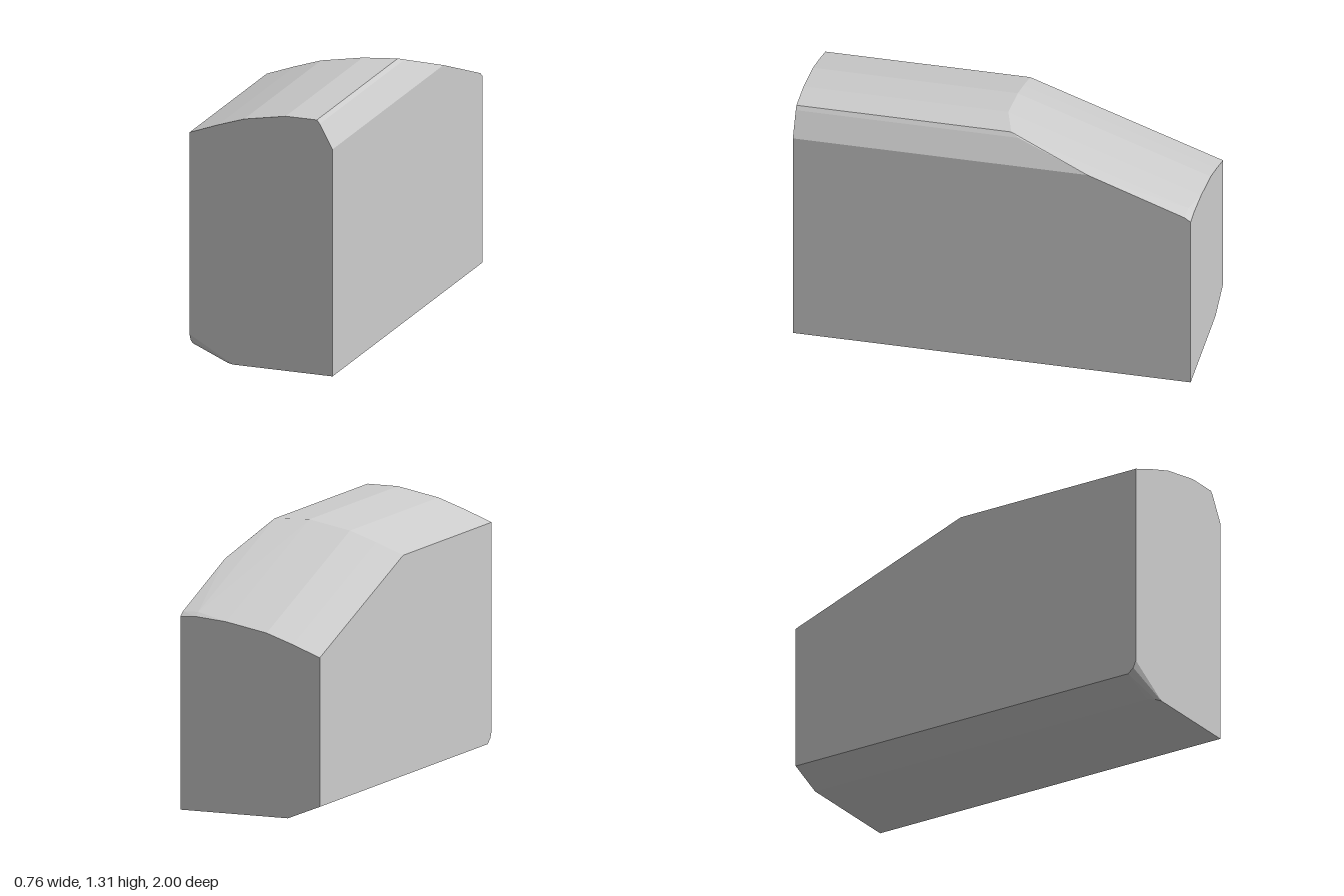
import * as THREE from 'three';
import { ConvexGeometry } from 'three/addons/geometries/ConvexGeometry.js';

export function createModel() {
  const group = new THREE.Group();
  const grey = new THREE.MeshStandardMaterial({ color: 0xcccccc });
  grey.name = 'light grey';

  // Cross-sections of the block as [x, y] corners, each placed at a depth z
  const crown = [[-0.378, 1.17], [-0.23, 1.225], [-0.09, 1.272], [0.13, 1.312]];
  const shoulder = [[0.295, 1.312], [0.31, 1.293], [0.378, 1.17]];
  const base = [[0.378, 0]];
  const sections = [
    // front face, with a larger cut at the lower corner
    { z: 1, corners: [...crown, ...shoulder, ...base, [-0.378, 0.13], [-0.15, 0]] },
    { z: 0.985, corners: [[-0.378, 0.095], [-0.18, 0]] },
    { z: 0.955, corners: [[-0.378, 0.07], [-0.205, 0]] },
    // crease where the crowned top begins to slope down
    { z: -0.03, corners: crown },
    { z: -0.08, corners: [shoulder[0]] },
    { z: -0.12, corners: [shoulder[1]] },
    { z: -0.48, corners: [shoulder[2]] },
    // back face, with a softened upper corner
    { z: -0.97, corners: [[0.378, 0.985], [0.295, 0.988]] },
    {
      z: -1,
      corners: [
        ...crown.map(([x, y]) => [x, y - 0.356]),
        [0.295, 0.97], [0.378, 0.963],
        ...base, [-0.205, 0], [-0.378, 0.07],
      ],
    },
  ];

  // The block is the solid spanned by its sections
  const points = sections.flatMap(({ z, corners }) =>
    corners.map(([x, y]) => new THREE.Vector3(x, y, z)));
  const block = new THREE.Mesh(new ConvexGeometry(points), grey);
  block.name = 'chamferedBlock';
  group.add(block);
  return group;
}
